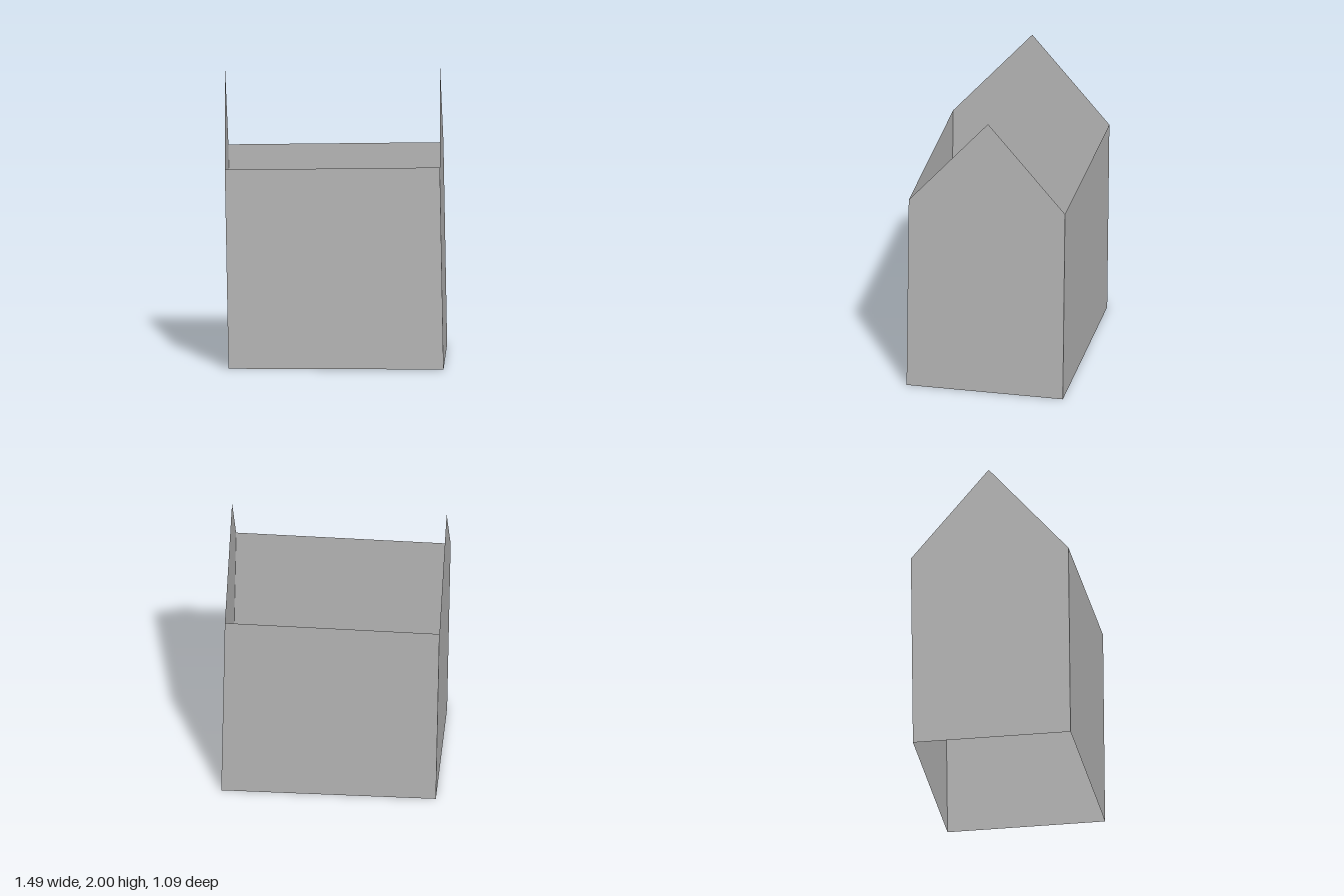
import * as THREE from 'three';

const wallGrey = new THREE.MeshStandardMaterial({ color: 0xb3b3b3, side: THREE.DoubleSide });
wallGrey.name = 'wallGrey';

// Thin flat wall from its outline, fanned from the first corner
function wall(name, corners) {
  const index = [];
  for (let i = 1; i < corners.length - 1; i++) index.push(0, i, i + 1);
  const geometry = new THREE.BufferGeometry().setFromPoints(corners);
  geometry.setIndex(index);
  geometry.computeVertexNormals();
  const mesh = new THREE.Mesh(geometry, wallGrey);
  mesh.name = name;
  return mesh;
}

// Outline of one house end: base, eaves and ridge, leaning slightly with height
function gableOutline(baseX, eaveX, ridgeX, eaveY, ridgeY) {
  return {
    frontBase: new THREE.Vector3(baseX, 0, 0.545),
    backBase: new THREE.Vector3(baseX, 0, -0.535),
    backEave: new THREE.Vector3(eaveX, eaveY, -0.545),
    ridge: new THREE.Vector3(ridgeX, ridgeY, -0.01),
    frontEave: new THREE.Vector3(eaveX, eaveY, 0.535),
  };
}

export function createModel() {
  const house = new THREE.Group();
  house.name = 'houseShell';

  const left = gableOutline(0.745, 0.72, 0.709, 1.382, 2);
  const right = gableOutline(-0.71, -0.735, -0.746, 1.362, 1.98);

  // Gabled end walls
  house.add(wall('leftGableWall', Object.values(left)));
  house.add(wall('rightGableWall', Object.values(right).reverse()));

  // Long walls; the roof and floor are open
  house.add(wall('frontWall', [right.frontBase, left.frontBase, left.frontEave, right.frontEave]));
  house.add(wall('backWall', [left.backBase, right.backBase, right.backEave, left.backEave]));

  return house;
}
